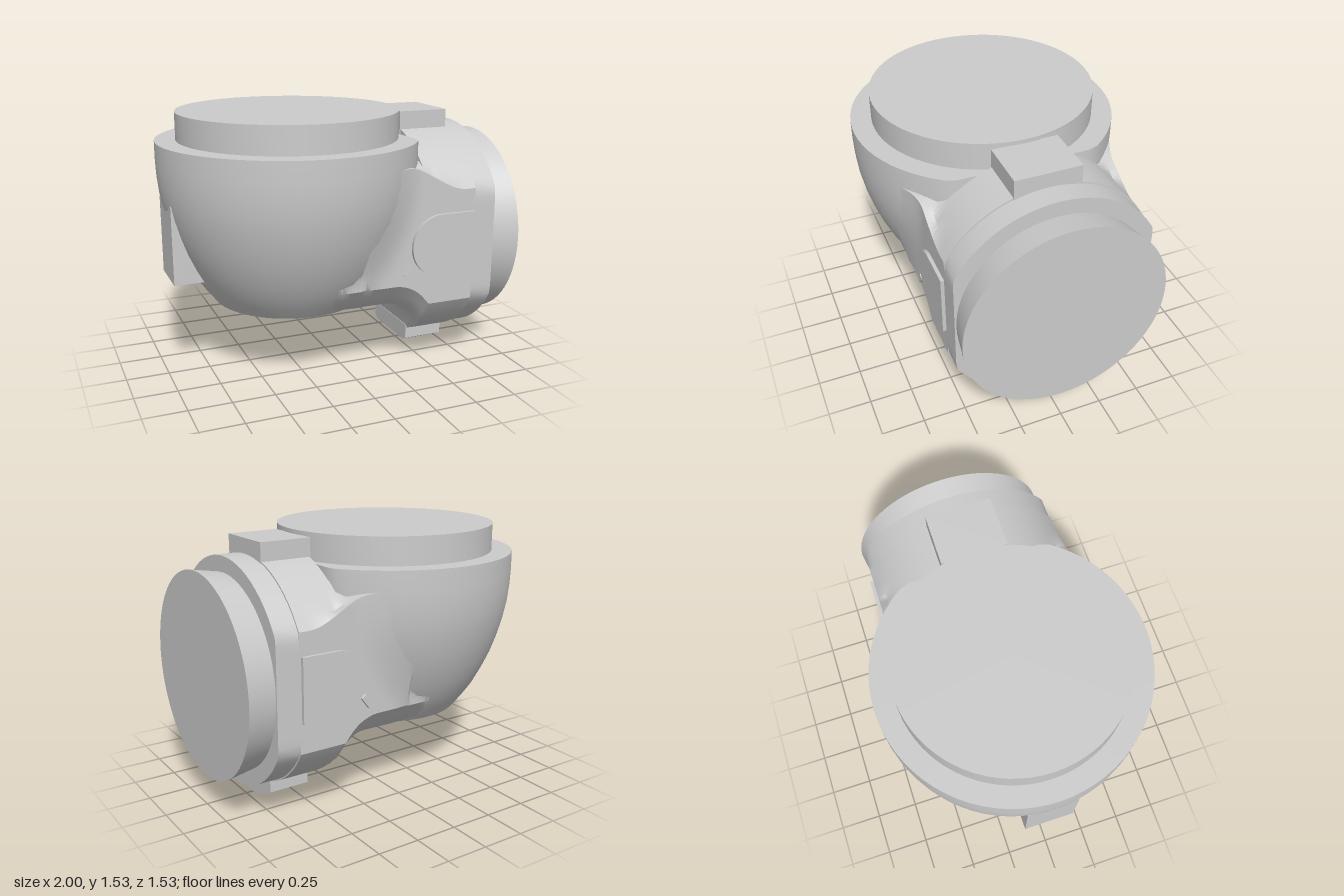
import * as THREE from 'three';
import { toCreasedNormals } from 'three/addons/utils/BufferGeometryUtils.js';
import { ConvexGeometry } from 'three/addons/geometries/ConvexGeometry.js';

const AXIS_X = -0.235, PIPE_Y = 0.772, PIPE_R = 0.66, FLAT = 0.57;
const BOWL = [[0.455, 0.415], [0.515, 0.49], [0.57, 0.57], [0.62, 0.665], [0.665, 0.765], [0.7, 0.865],
  [0.73, 0.97], [0.75, 1.07], [0.761, 1.17], [0.765, 1.26], [0.765, 1.375]];

// Bowl radius at a height
function bowlRadius(y) {
  for (let i = 1; i < BOWL.length; i++) {
    const [r0, y0] = BOWL[i - 1], [r1, y1] = BOWL[i];
    if (y <= y1) return r0 + (r1 - r0) * Math.max(0, (y - y0) / (y1 - y0));
  }
  return 0.765;
}

// Half width of the neck: flat sides with a fillet into the bowl
function neckWidth(x, y) {
  const r = bowlRadius(y) - 0.008, d = x - AXIS_X, k = 0.12;
  const bowl = Math.sqrt(Math.max(0, r * r - d * d));
  const h = Math.max(k - Math.abs(bowl - FLAT), 0) / k;
  return Math.max(bowl, FLAT) + (h * h * k) / 4 * (x < 0 ? 0 : 1);
}

const pipeHalf = z => Math.sqrt(Math.max(0, PIPE_R * PIPE_R - z * z));

// Underside of the neck, scooped between bowl and pipe
function neckFloor(x, z) {
  const u = Math.max(0, (x - 0.2) / 0.27);
  const scoop = u < 1 ? 0.1 + 0.32 * Math.sqrt(1 - u * u) : 0;
  const floor = scoop + Math.max(0, Math.abs(z) - 0.45) * 1.25;
  return Math.max(PIPE_Y - pipeHalf(Math.min(Math.abs(z), FLAT)), floor);
}

// One cross-section of the neck as a loop of points
function neckSection(x, deck) {
  const top = THREE.MathUtils.lerp(1.255, 1.105, THREE.MathUtils.smoothstep(x, 0.25, 0.64));
  const low = neckFloor(x, FLAT);
  const wTop = neckWidth(x, top), wLow = neckWidth(x, low), N = 24, M = 12, loop = [];
  for (let i = 0; i <= N; i++) {
    const z = wTop * (1 - 2 * i / N);
    let y = Math.max(top, PIPE_Y + pipeHalf(z));
    if (deck) y = Math.min(y, 1.255);
    loop.push([x, y, z]);
  }
  const side = [];
  for (let i = 1; i < M; i++) {
    const y = top + (low - top) * i / M;
    side.push([x, y, neckWidth(x, y)]);
  }
  side.forEach(([a, b, c]) => loop.push([a, b, -c]));
  for (let i = 0; i <= N; i++) {
    const z = wLow * (2 * i / N - 1);
    loop.push([x, neckFloor(x, z), z]);
  }
  return loop.concat(side.reverse());
}

function neckGeometry() {
  const loops = [];
  for (let i = 0; i <= 20; i++) loops.push(neckSection(-0.15 + 0.555 * i / 20, true));
  for (const x of [0.406, 0.42, 0.435, 0.45, 0.46, 0.468, 0.472, 0.49, 0.52, 0.56, 0.6, 0.64, 0.7]) loops.push(neckSection(x, false));
  const n = loops[0].length, index = [];
  for (let i = 0; i < loops.length - 1; i++) {
    for (let j = 0; j < n; j++) {
      const a = i * n + j, b = i * n + (j + 1) % n;
      index.push(a, a + n, b, b, a + n, b + n);
    }
  }
  const last = (loops.length - 1) * n;
  for (let j = 1; j < n - 1; j++) index.push(last, last + j + 1, last + j);
  const g = new THREE.BufferGeometry();
  g.setAttribute('position', new THREE.Float32BufferAttribute(loops.flat(2), 3));
  g.setIndex(index);
  return g;
}

// Move every vertex by a rule
function reshape(g, rule) {
  const p = g.attributes.position, v = new THREE.Vector3();
  for (let i = 0; i < p.count; i++) {
    rule(v.fromBufferAttribute(p, i));
    p.setXYZ(i, v.x, v.y, v.z);
  }
  return g;
}

export function createModel() {
  const group = new THREE.Group();
  const material = new THREE.MeshStandardMaterial({ color: 0xcccccc });
  const add = (name, geometry, crease = 0.5) => {
    const mesh = new THREE.Mesh(toCreasedNormals(geometry, crease), material);
    mesh.name = name;
    group.add(mesh);
    return mesh;
  };
  const box = (x0, x1, y0, y1, z) => new THREE.BoxGeometry(x1 - x0, y1 - y0, 2 * z)
    .translate((x0 + x1) / 2, (y0 + y1) / 2, 0);
  const disc = (x0, x1, r0, r1) => new THREE.CylinderGeometry(r1, r0, x1 - x0, 72)
    .rotateZ(-Math.PI / 2).translate((x0 + x1) / 2, PIPE_Y, 0);

  // Bowl with rim and raised cap, cut flat where the pipe joins
  const profile = [[0, 0.415], ...BOWL, [0.645, 1.375], [0.645, 1.535], [0, 1.535]];
  const bowl = new THREE.LatheGeometry(profile.map(([r, y]) => new THREE.Vector2(r, y)), 72).translate(AXIS_X, 0, 0);
  add('bowl', reshape(bowl, v => { v.x = Math.min(v.x, 0.41); }));

  // Neck joining the bowl to the side opening
  add('neck', neckGeometry());

  // Flange with flat sides, and the flared end
  add('flange', reshape(disc(0.69, 0.835, 0.651, 0.651), v => { v.z = THREE.MathUtils.clamp(v.z, -FLAT, FLAT); }));
  add('flaredEnd', disc(0.82, 1, 0.558, 0.588));

  // Lugs: back of the bowl, top and bottom of the pipe
  add('bowlLug', box(-0.97, -0.6, 0.595, 1.05, 0.15));
  add('topBlock', box(0.4, 0.705, 1.3, 1.51, 0.19));
  const corners = [];
  for (const s of [-1, 1]) {
    for (const [x, y, z] of [[0.705, 0, 0.06], [0.62, 0, 0.06], [0.46, 0.06, 0.18], [0.46, 0.08, 0.22],
      [0.705, 0.08, 0.22], [0.705, 0.2, 0.22], [0.46, 0.17, 0.22]]) corners.push(new THREE.Vector3(x, y, s * z));
  }
  add('bottomLug', new ConvexGeometry(corners), 0.1);

  // Rounded side pads and small nibs
  const pad = new THREE.Shape();
  pad.moveTo(0.69, 0.61);
  pad.lineTo(0.69, 0.975);
  pad.lineTo(0.4825, 0.975);
  pad.absarc(0.4825, 0.7925, 0.1825, Math.PI / 2, Math.PI * 1.5, false);
  for (const s of [-1, 1]) {
    const g = new THREE.ExtrudeGeometry(pad, { depth: 0.09, bevelEnabled: false, curveSegments: 20 });
    add('sidePad', g.translate(0, 0, s > 0 ? 0.5 : -0.59));
    const nib = add('nib', new THREE.BoxGeometry(0.035, 0.08, 0.06));
    nib.position.set(0.288, 0.66, s * 0.56);
    nib.rotation.z = -0.65;
  }
  return group;
}
